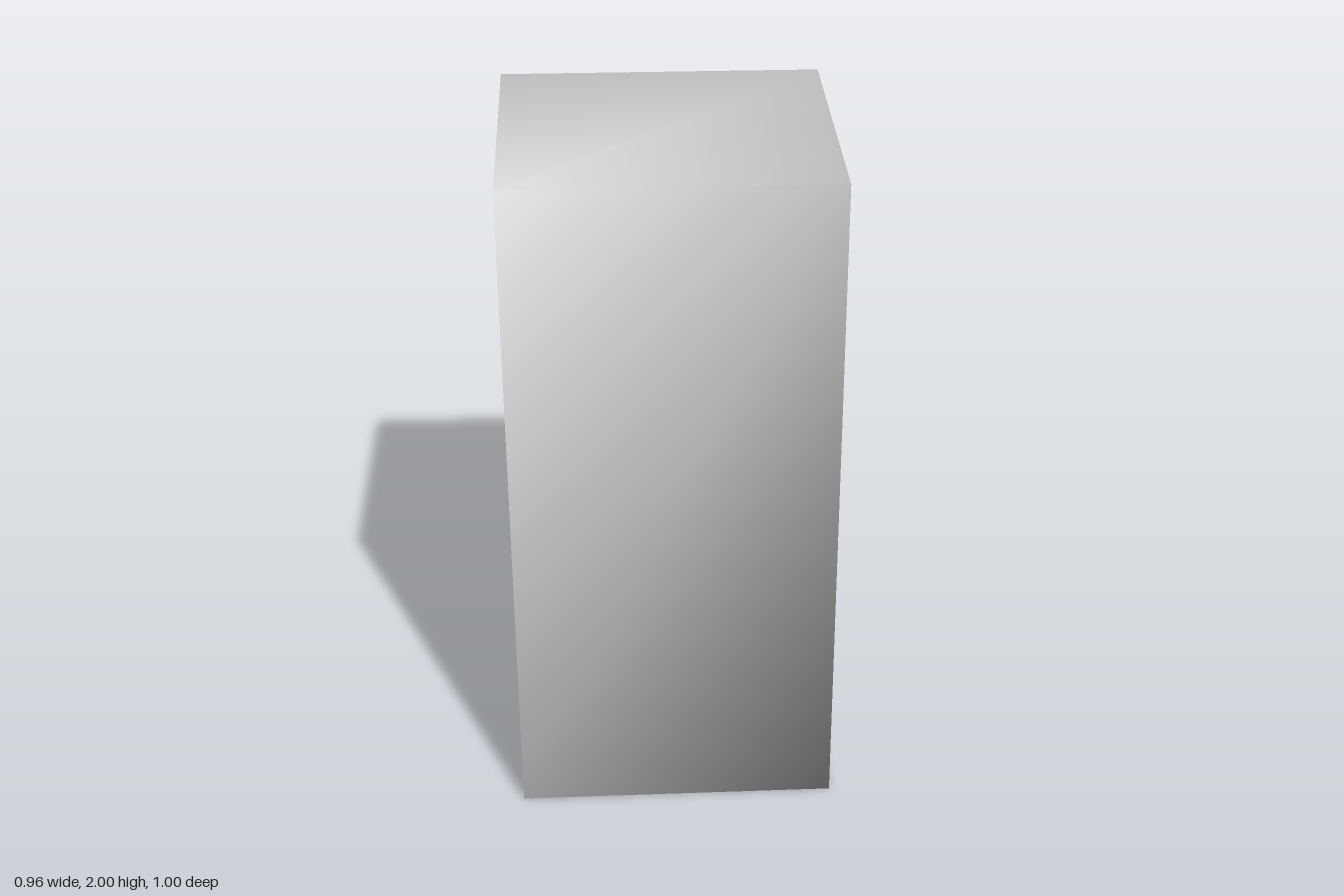
import * as THREE from 'three';
import { toCreasedNormals } from 'three/addons/utils/BufferGeometryUtils.js';

// Cabinet rings from the bevelled speaker side to the plain front: [z, inset]
const RINGS = [[-0.475, 0.035], [-0.465, 0.012], [-0.44, 0], [0.5, 0]];

// Corner of a ring; the front end is slightly tapered, so the box sits a little crooked
function corner(ring, sx, sy) {
  const [z, inset] = RINGS[ring];
  const front = ring === RINGS.length - 1;
  let x;
  if (sx > 0) x = front && sy > 0 ? 0.445 : 0.478;
  else x = front || sy < 0 ? -0.467 : -0.478;
  const y = sy > 0 ? (front ? 1.985 : 2) : 0;
  return [x - sx * inset, y - sy * inset, z];
}

// Smooth strip through rows of two points
function strip(rows) {
  const index = [];
  for (let i = 0; i < rows.length - 1; i++) {
    const a = i * 2;
    index.push(a, a + 2, a + 1, a + 1, a + 2, a + 3);
  }
  const g = new THREE.BufferGeometry();
  g.setAttribute('position', new THREE.Float32BufferAttribute(rows.flat(2), 3));
  g.setIndex(index);
  g.computeVertexNormals();
  return g;
}

export function createModel() {
  const model = new THREE.Group();
  model.name = 'loudspeaker';
  const grey = new THREE.MeshStandardMaterial({ color: 0xc0c0c0 });
  grey.name = 'grey';

  const add = (name, geometry) => {
    const mesh = new THREE.Mesh(geometry, grey);
    mesh.name = name;
    model.add(mesh);
    return mesh;
  };

  // Top, front and bottom wrap as one smooth sheet
  const order = RINGS.map((_, i) => i);
  const row = (i, sy) => [corner(i, -1, sy), corner(i, 1, sy)];
  add('cabinetWrap', strip([
    ...order.map((i) => row(i, 1)),
    ...[...order].reverse().map((i) => row(i, -1)),
  ]));

  // Side walls
  for (const s of [1, -1]) {
    add(s > 0 ? 'leftWall' : 'rightWall',
      strip(order.map((i) => [corner(i, s, s), corner(i, s, -s)])));
  }

  // Speaker panel with two hexagonal openings, drawn mirrored and turned to face back
  const driverHeights = [0.62, 1.475];
  const panel = new THREE.Shape([[-1, -1], [1, -1], [1, 1], [-1, 1]].map(([sx, sy]) => {
    const [x, y] = corner(0, -sx, sy);
    return new THREE.Vector2(-x, y);
  }));
  for (const h of driverHeights) {
    const hex = [];
    for (let k = 0; k < 6; k++) {
      const a = -k * Math.PI / 3;
      hex.push(new THREE.Vector2(0.34 * Math.sin(a), h + 0.34 * Math.cos(a)));
    }
    panel.holes.push(new THREE.Path(hex));
  }
  const panelGeometry = new THREE.ShapeGeometry(panel);
  panelGeometry.rotateY(Math.PI).translate(0, 0, RINGS[0][0]);
  add('speakerPanel', panelGeometry);

  // Six-sided drivers: rounded rim, then a recessed cone with a small centre cap
  const profile = (points) => {
    const g = new THREE.LatheGeometry(points.map(([r, d]) => new THREE.Vector2(r, d)), 6);
    return toCreasedNormals(g.rotateX(-Math.PI / 2), 0.9);
  };
  const rim = profile([[0.372, -0.005], [0.366, 0.012], [0.35, 0.025],
    [0.33, 0.025], [0.315, 0.012], [0.308, -0.015]]);
  const cone = profile([[0.308, -0.015], [0.05, -0.13]]);
  const cap = profile([[0.05, -0.13], [0.035, -0.115], [0, -0.108]]);
  driverHeights.forEach((h, i) => {
    const side = i ? 'upper' : 'lower';
    for (const [part, geometry] of [['Rim', rim], ['Cone', cone], ['Cap', cap]]) {
      add(side + part, geometry).position.set(0, h, RINGS[0][0]);
    }
  });

  return model;
}
